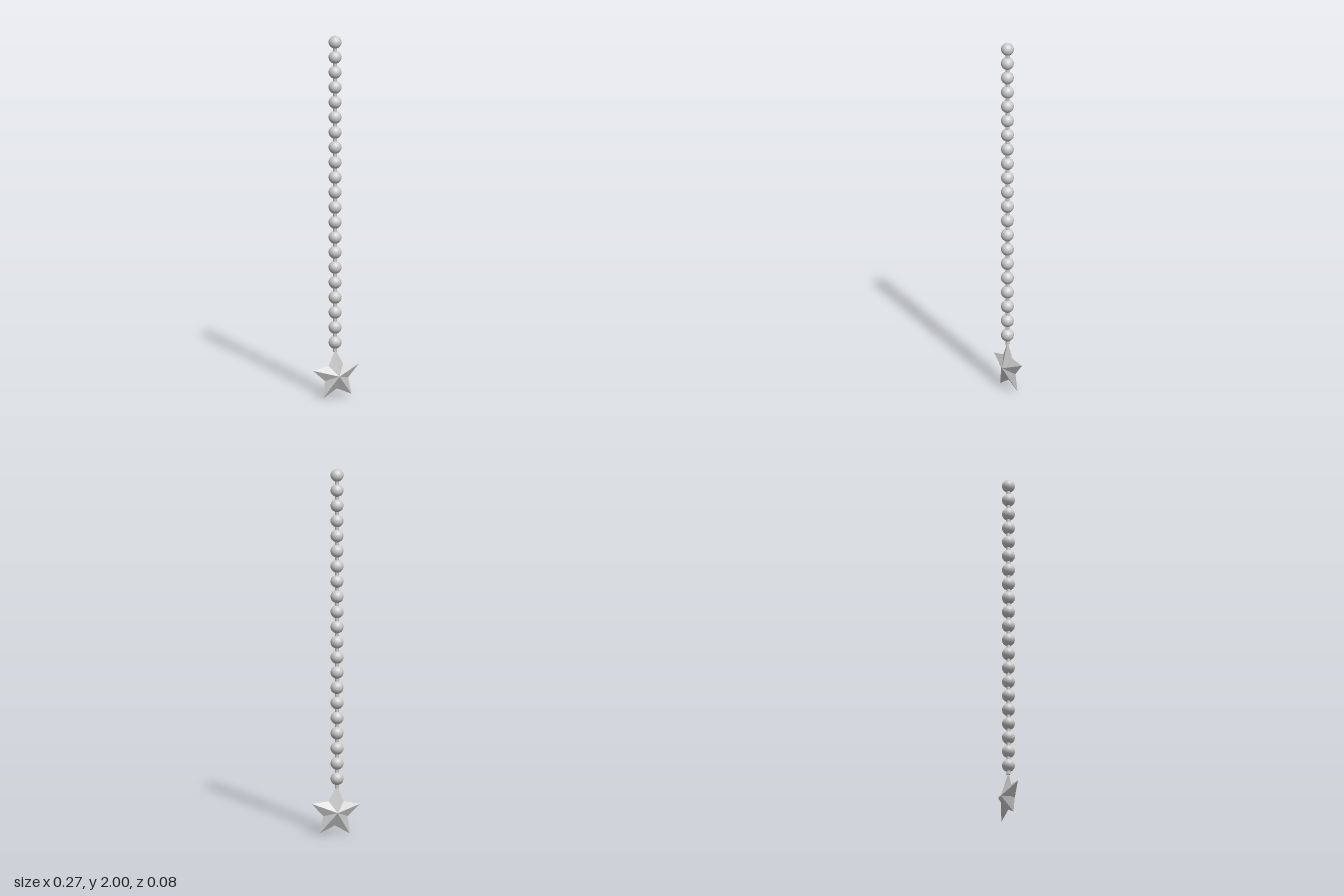
import * as THREE from 'three';

const BEADS = 21, BEAD_R = 0.035, FIRST_Y = 0.303, LAST_Y = 1.965;
const CHAIN_X = -0.007;

// Five-pointed star, ridged on both faces, from an outline fanned to two apexes
function starGeometry(outer, inner, halfDepth, tilt) {
  const ring = [];
  for (let i = 0; i < 10; i++) {
    const a = Math.PI / 2 + tilt + (i * Math.PI) / 5;
    const r = i % 2 ? inner : outer;
    ring.push([r * Math.cos(a), r * Math.sin(a), 0]);
  }
  const pos = [];
  ring.forEach((p, i) => {
    const q = ring[(i + 1) % 10];
    pos.push(...p, ...q, 0, 0, halfDepth);
    pos.push(...q, ...p, 0, 0, -halfDepth);
  });
  const geo = new THREE.BufferGeometry();
  geo.setAttribute('position', new THREE.Float32BufferAttribute(pos, 3));
  geo.computeVertexNormals();
  return geo;
}

export function createModel() {
  const model = new THREE.Group();
  model.name = 'beadPullChain';
  const smooth = new THREE.MeshStandardMaterial({ color: 0xcccccc });
  const flat = new THREE.MeshStandardMaterial({ color: 0xcccccc, flatShading: true });

  // Beads
  const chain = new THREE.Group();
  chain.name = 'beadChain';
  chain.position.x = CHAIN_X;
  const beadGeo = new THREE.SphereGeometry(BEAD_R, 24, 16);
  for (let i = 0; i < BEADS; i++) {
    const bead = new THREE.Mesh(beadGeo, smooth);
    bead.name = 'bead';
    bead.position.y = THREE.MathUtils.lerp(FIRST_Y, LAST_Y, i / (BEADS - 1));
    chain.add(bead);
  }

  // Thin cord through the beads, down into the star tip
  const bottom = 0.25;
  const cord = new THREE.Mesh(
    new THREE.CylinderGeometry(0.01, 0.01, LAST_Y - bottom, 12), smooth);
  cord.name = 'cord';
  cord.position.y = (LAST_Y + bottom) / 2;
  chain.add(cord);
  model.add(chain);

  // Star pendant, slightly tilted
  const star = new THREE.Mesh(starGeometry(0.1435, 0.073, 0.04, 0.05), flat);
  star.name = 'starPendant';
  star.position.set(0.001, 0.12, 0);
  model.add(star);

  return model;
}
